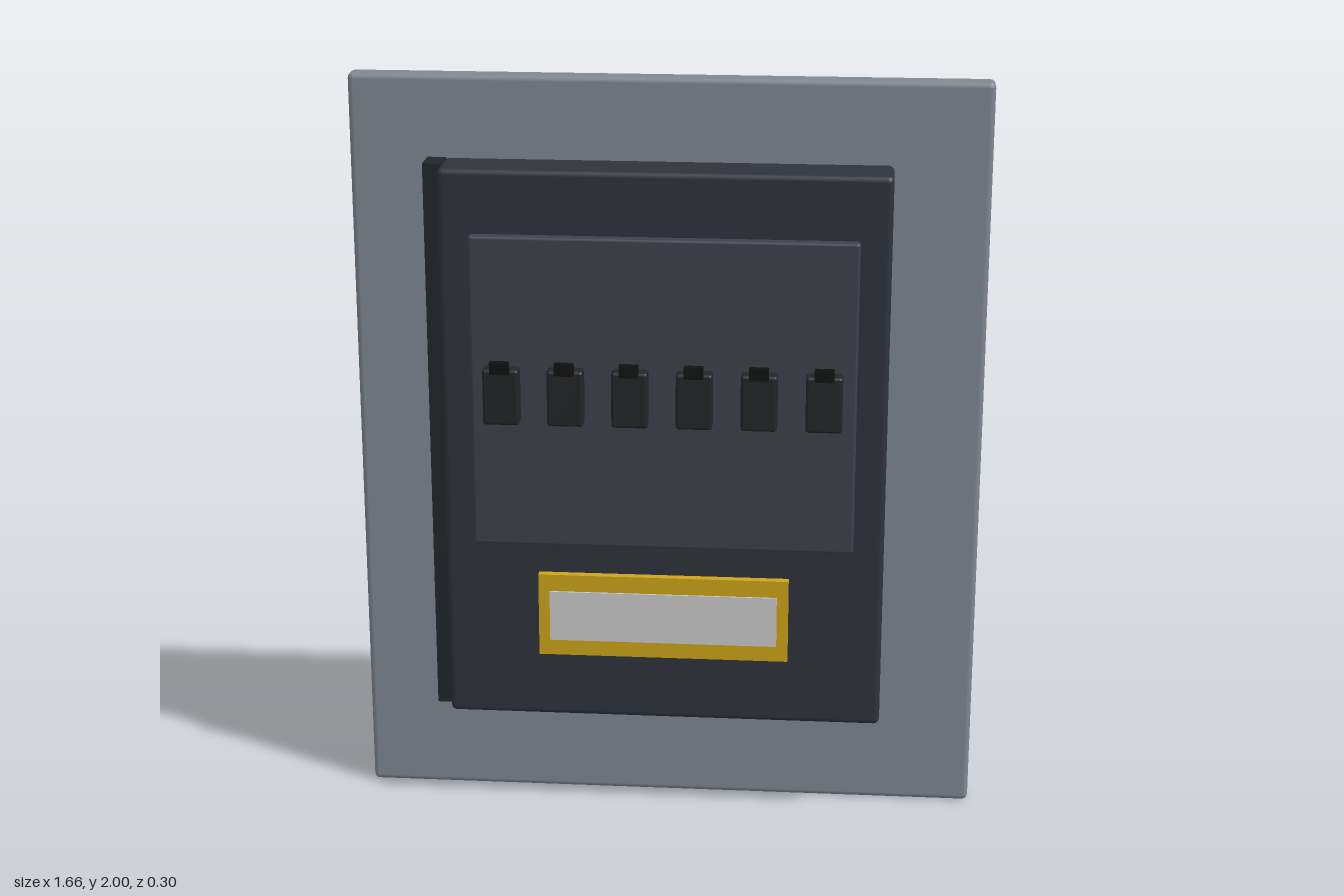
import * as THREE from 'three';
import { RoundedBoxGeometry } from 'three/addons/geometries/RoundedBoxGeometry.js';

const paint = (color) => new THREE.MeshStandardMaterial({ color });

// Box given by its [min, max] extents; a bevel above zero softens the edges
function block(name, [x0, x1], [y0, y1], [z0, z1], material, bevel = 0) {
  const size = [x1 - x0, y1 - y0, z1 - z0];
  const geometry = bevel
    ? new RoundedBoxGeometry(...size, 2, bevel)
    : new THREE.BoxGeometry(...size);
  const mesh = new THREE.Mesh(geometry, material);
  mesh.name = name;
  mesh.position.set((x0 + x1) / 2, (y0 + y1) / 2, (z0 + z1) / 2);
  return mesh;
}

export function createModel() {
  const model = new THREE.Group();
  model.name = 'breakerPanel';

  const wallGrey = paint(0x808791);
  const cabinetGrey = paint(0x2f333a);
  const panelGrey = paint(0x3d414b);
  const hingeGrey = paint(0x22262a);
  const switchBlack = paint(0x222526);
  const leverBlack = paint(0x111213);
  const yellow = paint(0xcca41a);
  const paper = paint(0xc5c7c9);

  // Wall plate, cabinet and the hinge strip down its right side
  model.add(
    block('wallPlate', [-0.83, 0.83], [0, 2], [-0.15, -0.085], wallGrey, 0.015),
    block('cabinet', [-0.58, 0.58], [0.286, 1.786], [-0.085, 0.062], cabinetGrey, 0.015),
    block('hingeStrip', [-0.625, -0.575], [0.286, 1.786], [-0.08, 0.004], hingeGrey),
    block('switchPanel', [-0.5, 0.5], [0.785, 1.619], [0.045, 0.09], panelGrey, 0.008)
  );

  // Row of six switches, each with a small lever at its top front edge
  for (let i = 0; i < 6; i++) {
    const unit = new THREE.Group();
    unit.name = 'breakerSwitch' + (i + 1);
    unit.position.x = (i - 2.5) * 0.1667;
    unit.add(
      block('switchBody', [-0.047, 0.047], [1.128, 1.277], [0.08, 0.13], switchBlack, 0.008),
      block('switchLever', [-0.025, 0.025], [1.27, 1.302], [0.13, 0.149], leverBlack)
    );
    model.add(unit);
  }

  // Label plate with its insert
  model.add(
    block('labelFrame', [-0.332, 0.332], [0.472, 0.7], [0.055, 0.085], yellow),
    block('labelInsert', [-0.302, 0.302], [0.516, 0.654], [0.06, 0.09], paper)
  );

  return model;
}
